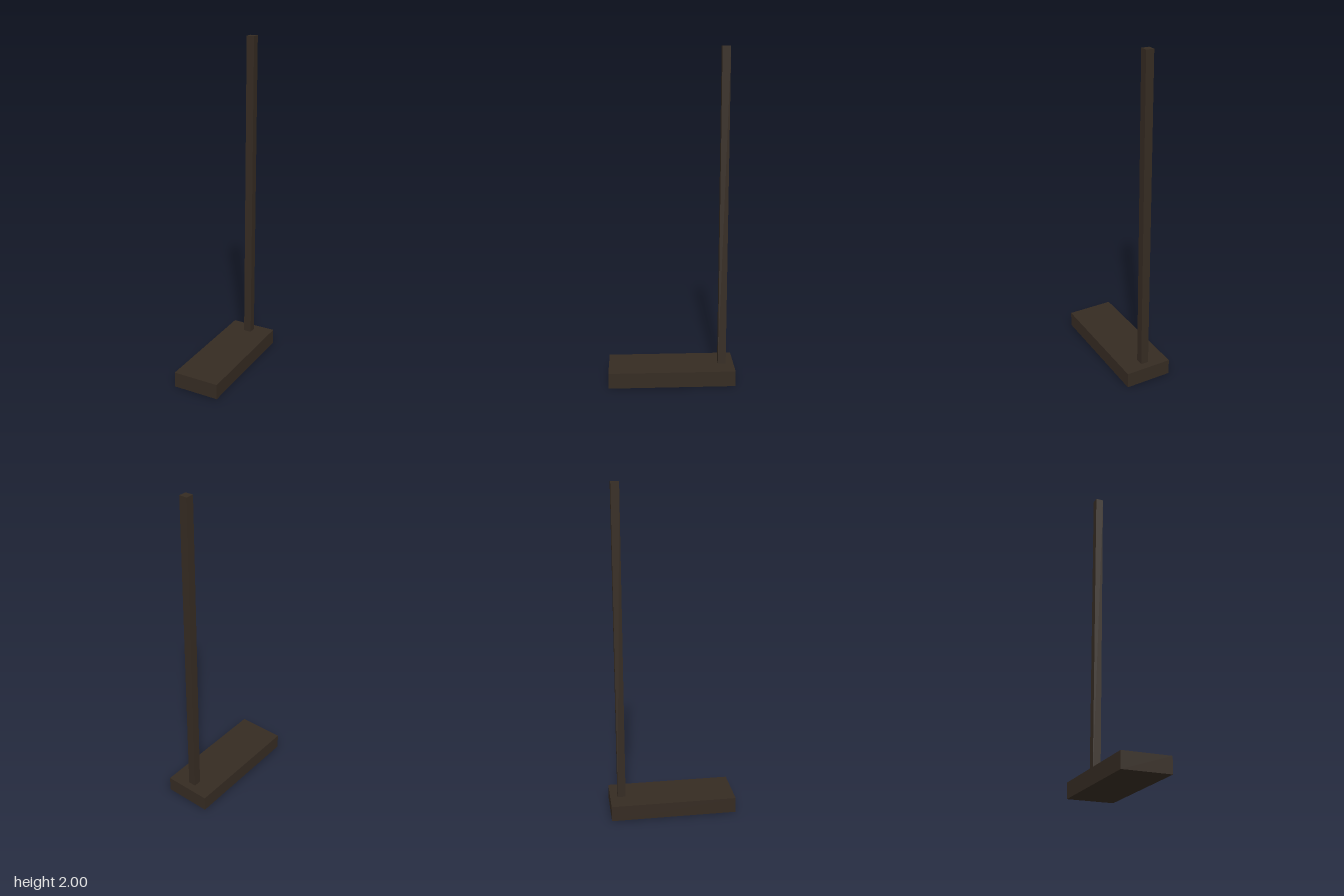
import * as THREE from 'three';

export function createModel() {
  const model = new THREE.Group();
  const darkWood = new THREE.MeshStandardMaterial({ color: 0x352b22 });
  darkWood.name = 'darkWood';

  const addBox = (name, width, height, depth, y, z) => {
    const mesh = new THREE.Mesh(new THREE.BoxGeometry(width, height, depth), darkWood);
    mesh.name = name;
    mesh.position.set(0, y + height / 2, z);
    model.add(mesh);
  };

  // Long flat foot
  const baseHeight = 0.095;
  addBox('base', 0.286, baseHeight, 0.762, 0, 0);

  // Tall square post near the back edge
  addBox('post', 0.048, 2 - baseHeight, 0.048, baseHeight, -0.31);

  return model;
}
